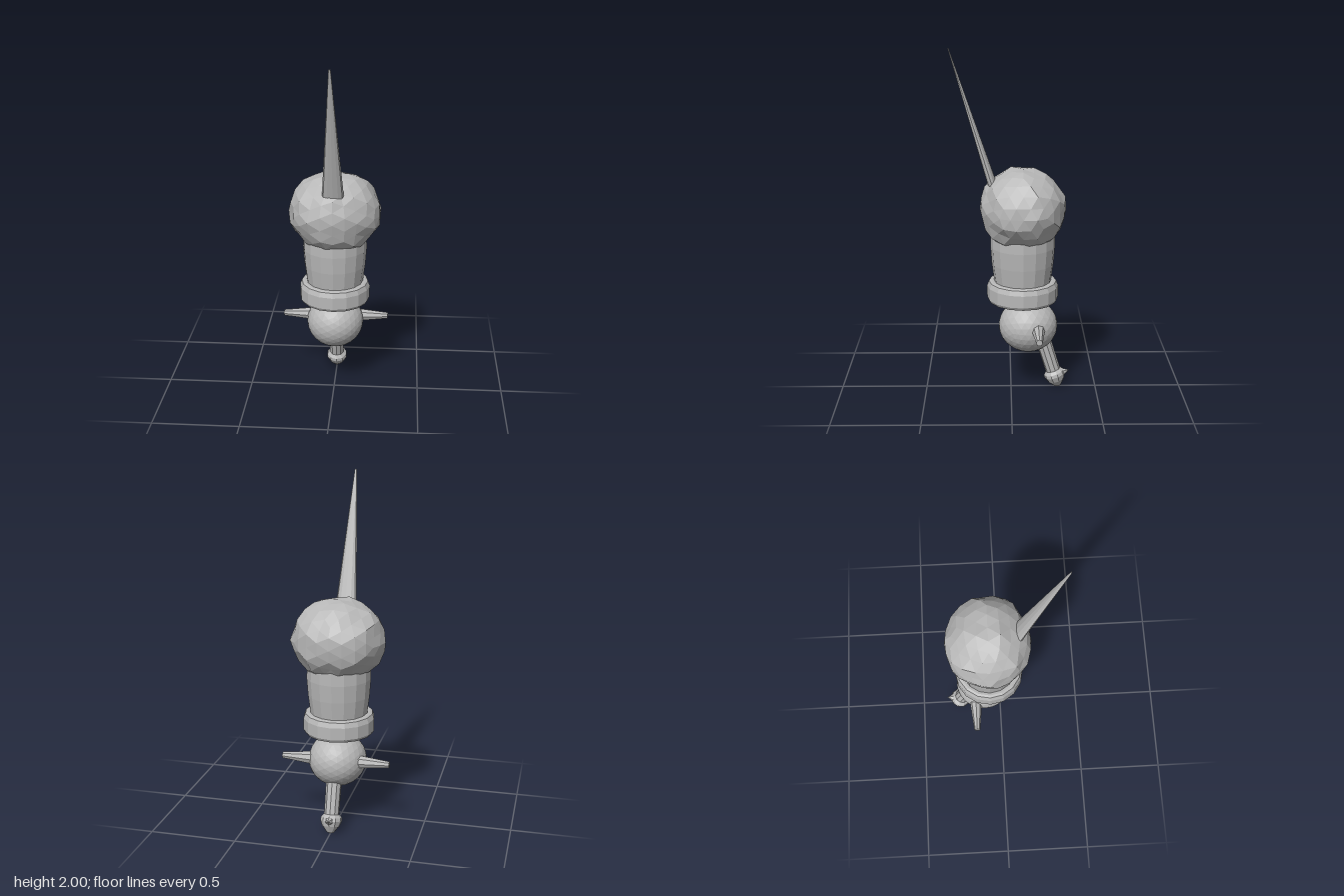
import * as THREE from 'three';

const grey = new THREE.MeshStandardMaterial({ color: 0xb8b8b8, flatShading: true, side: THREE.DoubleSide });
grey.name = 'plain grey';

const TILT = 0.303; // lean of the blade and grip toward the front

function part(name, geometry, parent, x = 0, y = 0, z = 0) {
  const mesh = new THREE.Mesh(geometry, grey);
  mesh.name = name;
  mesh.position.set(x, y, z);
  parent.add(mesh);
  return mesh;
}

// Revolved profile given as [radius, height] pairs, bottom to top
const lathe = (points, sides) =>
  new THREE.LatheGeometry(points.map(([r, y]) => new THREE.Vector2(r, y)), sides);

// Faceted ball with an optional hand-made unevenness
function ball(rx, ry, rz, detail, rough = 0) {
  const g = new THREE.IcosahedronGeometry(1, detail);
  const p = g.attributes.position;
  const v = new THREE.Vector3();
  for (let i = 0; i < p.count; i++) {
    v.fromBufferAttribute(p, i);
    const bump = Math.sin(v.x * 9 + v.y * 4) + Math.sin(v.y * 11 - v.z * 6) + Math.sin(v.z * 10 + v.x * 5);
    v.multiplyScalar(1 + (rough * bump) / 3);
    p.setXYZ(i, v.x * rx, v.y * ry, v.z * rz);
  }
  g.computeVertexNormals();
  return g;
}

export function createModel() {
  const model = new THREE.Group();
  model.name = 'daggerWithCap';

  // Upright sleeve with a puffed top and a thick rim, hollow underneath
  const cap = new THREE.Group();
  cap.name = 'cap';
  cap.position.set(0, 0, -0.067);
  model.add(cap);
  part('puff', ball(0.264, 0.235, 0.245, 3, 0.055), cap, 0, 1.1, 0);
  part('sleeve', lathe([[0.162, 0.6], [0.165, 0.68], [0.178, 0.78], [0.185, 0.88], [0.182, 0.98]], 16), cap);
  part('rim', lathe([
    [0.165, 0.575], [0.18, 0.553], [0.195, 0.555], [0.205, 0.572],
    [0.205, 0.642], [0.194, 0.67], [0.18, 0.675], [0.16, 0.675], [0.165, 0.575],
  ], 16), cap);

  // Round guard under the sleeve
  part('guardBall', ball(0.167, 0.156, 0.171, 4), model, 0, 0.395, -0.1);

  // Tapered prongs on both sides
  for (const side of [1, -1]) {
    const prong = part(side > 0 ? 'leftProng' : 'rightProng',
      new THREE.CylinderGeometry(0.019, 0.047, 0.24, 8), model, side * 0.193, 0.408, -0.155);
    prong.rotation.z = -side * Math.PI / 2;
    prong.scale.z = 0.95;
  }

  // Everything that shares the leaning axis
  const dagger = new THREE.Group();
  dagger.name = 'dagger';
  dagger.position.set(0, 0.41, -0.155);
  dagger.rotation.x = TILT;
  model.add(dagger);

  const blade = part('blade', lathe([[0.082, 0], [0.08, 0.15], [0.061, 0.88], [0.006, 1.666], [0, 1.667]], 12), dagger);
  blade.scale.z = 0.42;
  part('grip', new THREE.CylinderGeometry(0.047, 0.043, 0.4, 10), dagger, 0, -0.14, 0);
  part('pommel', lathe([[0, -0.424], [0.02, -0.418], [0.05, -0.38], [0.063, -0.348], [0.06, -0.33], [0.043, -0.312], [0, -0.312]], 10), dagger);

  // Small spur at the back of the pommel
  const spur = part('pommelSpur', new THREE.ConeGeometry(0.034, 0.05, 6), dagger, 0, -0.346, -0.063);
  spur.rotation.x = -Math.PI / 2;

  return model;
}
